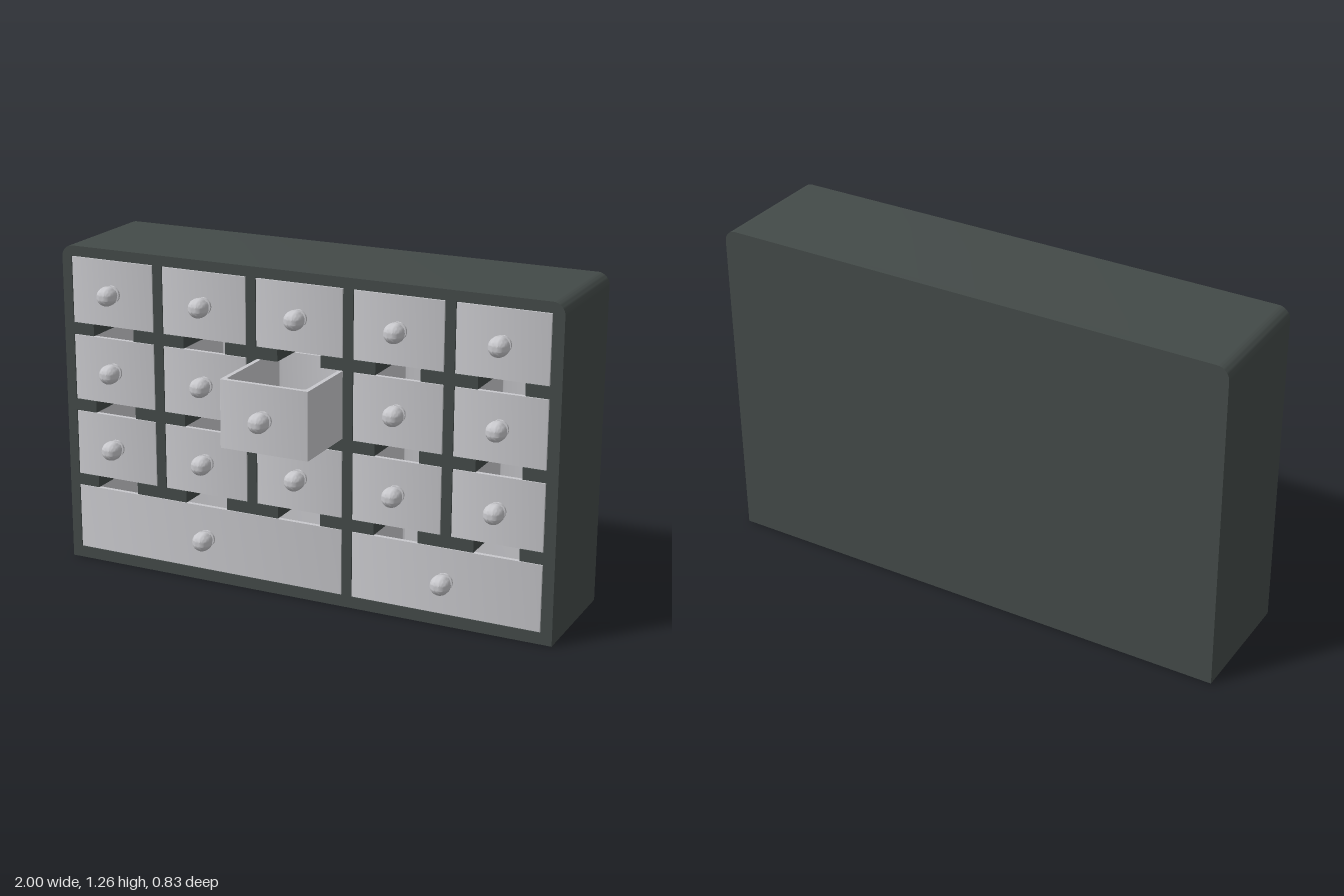
import * as THREE from 'three';
import { toCreasedNormals } from 'three/addons/utils/BufferGeometryUtils.js';

const FRONT = 0.06, BACK = -0.415, PANEL = 0.025;
const PITCH_X = 0.391, PITCH_Y = 0.305, CELL_W = 0.352, CELL_H = 0.26, Y0 = 0.045;
const SLOT = 0.0875;     // half width of the slots in the shelves
const columnX = (i) => -0.002 + (i - 2) * PITCH_X;
const rowY = (r) => Y0 + r * PITCH_Y;

function cabinetOutline() {
  const s = new THREE.Shape(), r = 0.045, h = 1.26;
  s.moveTo(-1, 0);
  s.lineTo(1, 0);
  s.lineTo(1, h - r);
  s.absarc(1 - r, h - r, r, 0, Math.PI / 2, false);
  s.lineTo(-1 + r, h);
  s.absarc(-1 + r, h - r, r, Math.PI / 2, Math.PI, false);
  s.closePath();
  return s;
}

// Opening for columns a..b: one wide bottom bay, with slotted bays stacked above it
function bayHole(a, b) {
  const pts = [];
  const add = (x, y) => pts.push(new THREE.Vector2(x, y));
  const hw = CELL_W / 2;
  add(columnX(a) - hw, Y0);
  add(columnX(b) + hw, Y0);
  add(columnX(b) + hw, Y0 + CELL_H);
  for (let c = b; c >= a; c--) {
    const x = columnX(c), side = [];
    for (let r = 1; r <= 3; r++) {
      side.push([SLOT, rowY(r - 1) + CELL_H], [SLOT, rowY(r)], [hw, rowY(r)], [hw, rowY(r) + CELL_H]);
    }
    side.forEach(([dx, y]) => add(x + dx, y));
    side.reverse().forEach(([dx, y]) => add(x - dx, y));
  }
  add(columnX(a) - hw, Y0 + CELL_H);
  return new THREE.Path(pts);
}

function roundedRect(path, w, d, r) {
  const x = w / 2, y = d / 2;
  path.moveTo(-x + r, -y);
  path.lineTo(x - r, -y);
  path.absarc(x - r, -y + r, r, -Math.PI / 2, 0, false);
  path.lineTo(x, y - r);
  path.absarc(x - r, y - r, r, 0, Math.PI / 2, false);
  path.lineTo(-x + r, y);
  path.absarc(-x + r, y - r, r, Math.PI / 2, Math.PI, false);
  path.lineTo(-x, -y + r);
  path.absarc(-x + r, -y + r, r, Math.PI, Math.PI * 1.5, false);
  return path;
}

function knobGeometry() {
  const pts = [[0.033, 0], [0.033, 0.008], [0.027, 0.009], [0.027, 0.016], [0.016, 0.018],
    [0.016, 0.027], [0.035, 0.027], [0.037, 0.029], [0.037, 0.043]];
  for (let i = 1; i <= 8; i++) {
    const t = (i / 8) * Math.PI / 2;
    pts.push([Math.max(0, 0.037 * Math.cos(t)), 0.043 + 0.037 * Math.sin(t)]);
  }
  const geo = new THREE.LatheGeometry(pts.map(([x, y]) => new THREE.Vector2(x, y)), 28);
  return toCreasedNormals(geo.rotateX(Math.PI / 2), 0.6);
}

export function createModel() {
  const model = new THREE.Group();
  model.name = 'drawerCabinet';
  const dark = new THREE.MeshStandardMaterial({ name: 'charcoal', color: 0x434a48 });
  const grey = new THREE.MeshStandardMaterial({ name: 'lightGrey', color: 0xc8c8cc });
  const mesh = (name, geo, mat, parent) => {
    const m = new THREE.Mesh(geo, mat);
    m.name = name;
    parent.add(m);
    return m;
  };
  const extrude = (shape, depth) =>
    toCreasedNormals(new THREE.ExtrudeGeometry(shape, { depth, bevelEnabled: false, curveSegments: 8 }), 0.5);

  // Case with its dividers and slotted shelves, closed by a back panel
  const frame = cabinetOutline();
  frame.holes.push(bayHole(0, 2), bayHole(3, 4));
  mesh('caseFrame', extrude(frame, FRONT - BACK - PANEL), dark, model).position.z = BACK + PANEL;
  mesh('backPanel', extrude(cabinetOutline(), PANEL), dark, model).position.z = BACK;

  // Open-topped drawers, each with a floor and a knob
  const knob = knobGeometry();
  const depth = 0.44, wall = 0.017, gap = 0.002;
  function addDrawer(x, y, cellWidth, pull) {
    const drawer = new THREE.Group();
    drawer.name = 'drawer';
    drawer.position.set(x, y + gap, FRONT + pull);
    const w = cellWidth - 2 * gap, h = CELL_H - 2 * gap;
    const plan = roundedRect(new THREE.Shape(), w, depth, 0.002);
    plan.holes.push(roundedRect(new THREE.Path(), w - 2 * wall, depth - 2 * wall, 0.015));
    const walls = extrude(plan, h).rotateX(-Math.PI / 2);
    mesh('drawerWalls', walls, grey, drawer).position.z = -depth / 2;
    const floor = new THREE.BoxGeometry(w - wall, 0.014, depth - wall);
    mesh('drawerFloor', floor, grey, drawer).position.set(0, 0.008, -depth / 2);
    mesh('knob', knob, grey, drawer).position.y = h / 2;
    model.add(drawer);
  }

  for (let r = 1; r <= 3; r++) {
    for (let c = 0; c < 5; c++) {
      addDrawer(columnX(c), rowY(r), CELL_W, r === 2 && c === 2 ? 0.28 : 0);
    }
  }
  addDrawer(columnX(1), rowY(0), CELL_W + 2 * PITCH_X, 0);
  addDrawer(columnX(3.5), rowY(0), CELL_W + PITCH_X, 0);

  return model;
}
